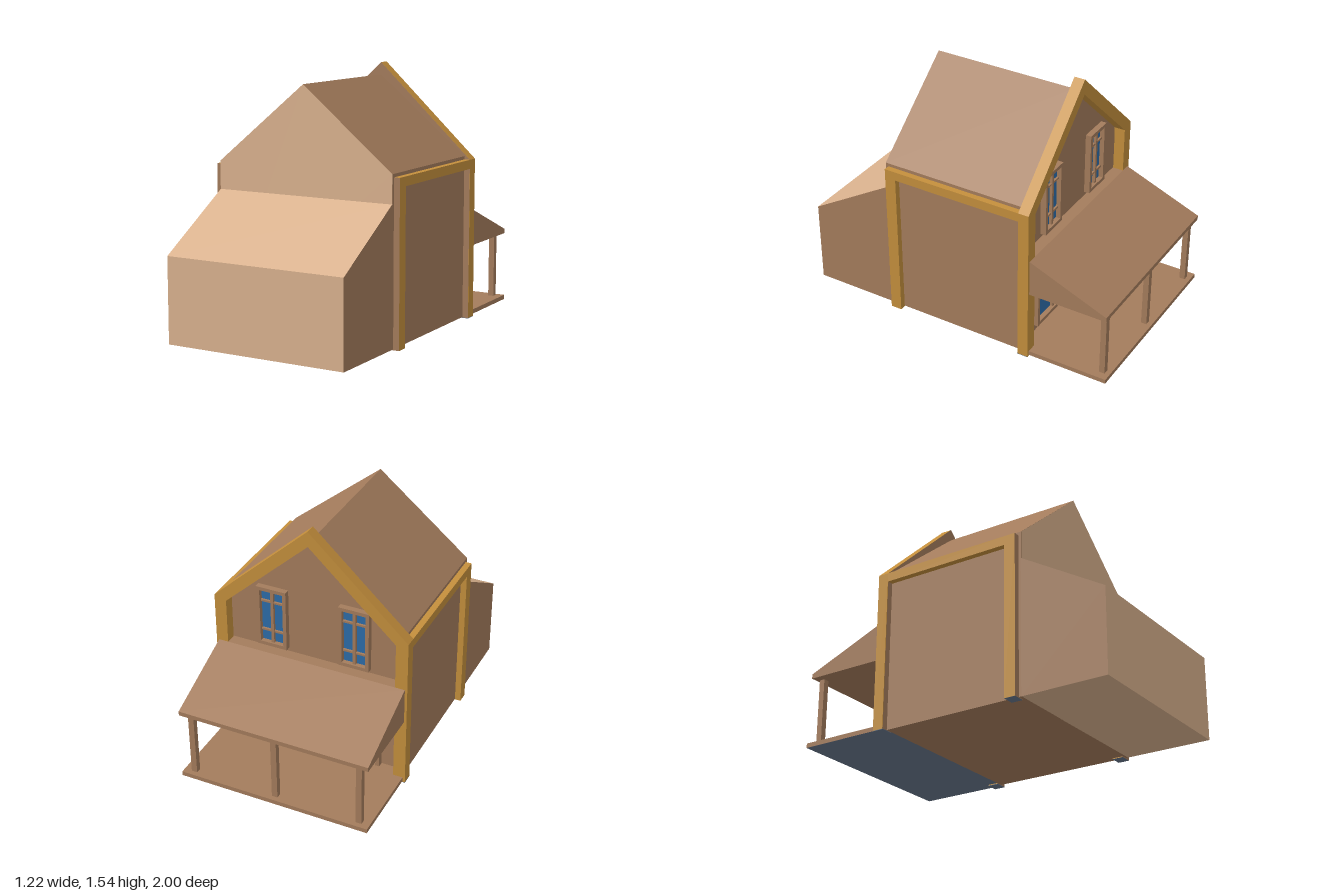
import * as THREE from 'three';

const mat = (name, color) => {
  const m = new THREE.MeshStandardMaterial({ color });
  m.name = name;
  return m;
};

export function createModel() {
  const house = new THREE.Group();
  house.name = 'house';
  const brown = mat('brown timber', 0xa47c5c);
  const tan = mat('light tan', 0xdab28e);
  const ochre = mat('ochre trim', 0xc48f3c);
  const blue = mat('blue glass', 0x2c6ca8);
  const slate = mat('slate underside', 0x66758a);

  const add = (name, geometry, material, parent = house) => {
    const mesh = new THREE.Mesh(geometry, material);
    mesh.name = name;
    parent.add(mesh);
    return mesh;
  };
  // Box given by its minimum and maximum corners
  const box = (name, x0, x1, y0, y1, z0, z1, material, parent) => {
    const g = new THREE.BoxGeometry(x1 - x0, y1 - y0, z1 - z0);
    g.translate((x0 + x1) / 2, (y0 + y1) / 2, (z0 + z1) / 2);
    return add(name, g, material, parent);
  };
  const shapeOf = (pts) => new THREE.Shape(pts.map(([x, y]) => new THREE.Vector2(x, y)));
  // Outline in x and y, extruded from z0 to z1
  const slab = (name, pts, z0, z1, materials) => {
    const g = new THREE.ExtrudeGeometry(shapeOf(pts), { depth: z1 - z0, bevelEnabled: false });
    g.translate(0, 0, z0);
    return add(name, g, materials);
  };
  // Side outline in z and y, extruded across x
  const prism = (name, pts, halfWidth, materials) => {
    const g = new THREE.ExtrudeGeometry(shapeOf(pts), { depth: halfWidth * 2, bevelEnabled: false });
    g.rotateY(-Math.PI / 2);
    g.translate(halfWidth, 0, 0);
    return add(name, g, materials);
  };
  const plate = (name, pts, z) => {
    const g = new THREE.ShapeGeometry(shapeOf(pts));
    g.translate(0, 0, z);
    return g;
  };

  // Main body with pitched roof
  const gable = [[-0.573, 0.005], [0.573, 0.005], [0.573, 0.995], [0, 1.465], [-0.573, 0.995]];
  slab('mainBody', gable, -0.43, 0.472, brown);
  add('frontGableFace', plate('frontGableFace', gable, 0.475), tan);

  // Lean-to at the front
  prism('leanTo', [[0.47, 0.005], [1, 0.005], [1, 0.515], [0.47, 0.83]], 0.573, [brown, tan]);

  // Rear gable frame: two legs and two rakes in one outline
  const frame = [
    [-0.61, 0.003], [-0.535, 0.003], [-0.535, 0.95], [0, 1.445], [0.535, 0.95], [0.535, 0.003],
    [0.61, 0.003], [0.61, 0.975], [0, 1.54], [-0.61, 0.975],
  ];
  slab('rearGableFrame', frame, -0.5, -0.433, ochre);
  add('rearGableFrameInnerFace', plate('rearGableFrameInnerFace', frame, -0.43), brown);

  // Side trim: corner posts, eaves beams and slate feet
  for (const s of [-1, 1]) {
    const x0 = s < 0 ? -0.61 : 0.535;
    const x1 = x0 + 0.075;
    box('cornerPost', x0, x1, 0, 0.975, 0.385, 0.455, [ochre, ochre, ochre, slate, brown, ochre]);
    box('eavesBeam', x0, x1, 0.92, 0.975, -0.44, 0.39, ochre);
    box('rearLegFoot', x0, x1, 0, 0.003, -0.5, -0.43, slate);
  }

  // Porch deck, roof and posts
  box('porchDeck', -0.595, 0.595, 0.008, 0.035, -1, -0.43, [brown, brown, brown, slate, brown, brown]);
  prism('porchRoof', [[-0.99, 0.44], [-0.43, 0.44], [-0.43, 0.665], [-0.5, 0.665], [-0.99, 0.467]], 0.595, brown);
  for (const x of [-0.53, 0, 0.53]) {
    box('porchPost', x - 0.018, x + 0.018, 0.035, 0.44, -0.97, -0.935, brown);
  }

  // Framed window on the rear wall; bars are fractions of width and height
  const makeWindow = (name, x0, x1, y0, y1, uprights, rails) => {
    const w = new THREE.Group();
    w.name = name;
    house.add(w);
    const t = 0.022, z0 = -0.466, z1 = -0.43;
    box('glass', x0 + t, x1 - t, y0 + t, y1 - t, -0.437, z1, blue, w);
    box('sideFrame', x0, x0 + t, y0, y1, z0, z1, brown, w);
    box('sideFrame', x1 - t, x1, y0, y1, z0, z1, brown, w);
    box('sill', x0 + t, x1 - t, y0, y0 + t, z0, z1, brown, w);
    box('head', x0 + t, x1 - t, y1 - t, y1, z0, z1, brown, w);
    for (const u of uprights) {
      const x = x0 + (x1 - x0) * u;
      box('upright', x - 0.009, x + 0.009, y0 + t, y1 - t, -0.455, z1, brown, w);
    }
    for (const r of rails) {
      const y = y0 + (y1 - y0) * r;
      box('rail', x0 + t, x1 - t, y - 0.006, y + 0.006, -0.45, z1, brown, w);
    }
  };
  for (const x of [-0.26, 0.26]) makeWindow('upperWindow', x - 0.095, x + 0.095, 0.69, 1.08, [0.5], [0.25, 0.75]);
  makeWindow('porchWindow', -0.18, 0.43, 0.09, 0.4, [0.33, 0.67], [0.75]);

  // Porch door
  box('doorPanel', -0.41, -0.27, 0.035, 0.39, -0.44, -0.43, brown);
  box('doorJamb', -0.43, -0.405, 0.035, 0.41, -0.466, -0.43, brown);
  box('doorJamb', -0.275, -0.25, 0.035, 0.41, -0.466, -0.43, brown);
  box('doorHead', -0.405, -0.275, 0.385, 0.41, -0.466, -0.43, brown);

  return house;
}
